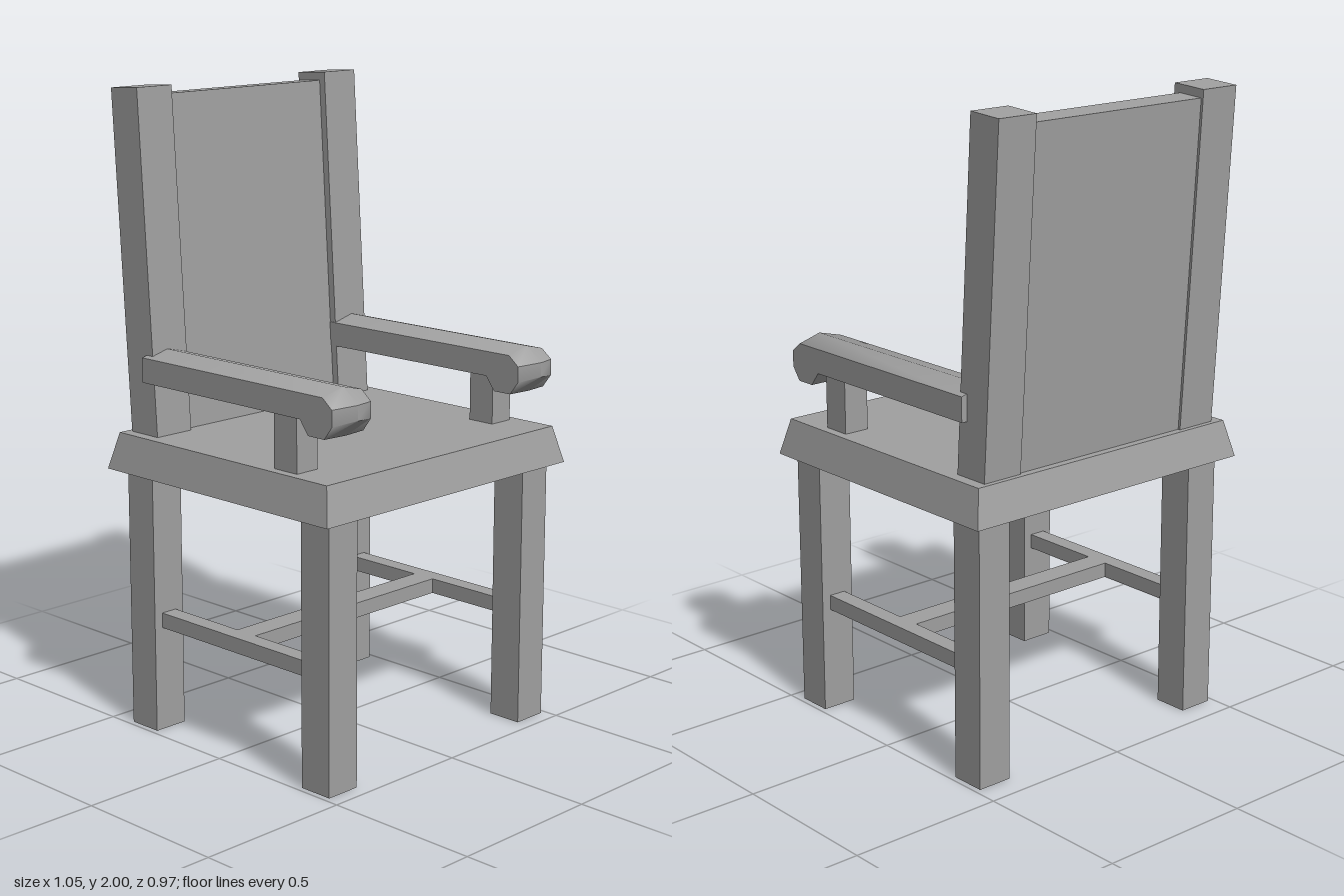
import * as THREE from 'three';
import { toCreasedNormals } from 'three/addons/utils/BufferGeometryUtils.js';

const grey = new THREE.MeshStandardMaterial({ color: 0xa0a0a0 });
grey.name = 'plain grey';

function add(parent, name, geometry) {
  const mesh = new THREE.Mesh(geometry, grey);
  mesh.name = name;
  parent.add(mesh);
  return mesh;
}

// Box given by its lower and upper limits on each axis
function block(parent, name, [x0, x1], [y0, y1], [z0, z1]) {
  const geometry = new THREE.BoxGeometry(x1 - x0, y1 - y0, z1 - z0);
  geometry.translate((x0 + x1) / 2, (y0 + y1) / 2, (z0 + z1) / 2);
  return add(parent, name, geometry);
}

// Seat slab with four sloping sides
function seatGeometry() {
  const geometry = new THREE.BoxGeometry(1.05, 0.115, 0.952);
  const p = geometry.attributes.position;
  for (let i = 0; i < p.count; i++) {
    if (p.getY(i) > 0) p.setXYZ(i, p.getX(i) * 0.949, p.getY(i), p.getZ(i) * 0.941);
  }
  geometry.computeVertexNormals();
  return geometry.translate(0, 0.8875, 0.011);
}

// Armrest: side profiles (z, y) at both edges and a fuller one along the ridge
function armGeometry() {
  const edge = [[-0.345, 1.113], [0.335, 1.113], [0.368, 1.07], [0.432, 1.07],
    [0.462, 1.11], [0.462, 1.16], [0.425, 1.19], [-0.345, 1.19]];
  const ridge = [[-0.345, 1.113], [0.335, 1.113], [0.368, 1.07], [0.44, 1.07],
    [0.487, 1.12], [0.487, 1.165], [0.43, 1.21], [-0.345, 1.21]];
  const n = edge.length;
  const positions = [];
  const index = [];
  [edge, ridge, edge].forEach((profile, i) => {
    for (const [z, y] of profile) positions.push((i - 1) * 0.079, y, z);
  });
  for (let i = 0; i < 2; i++) {
    for (let j = 0; j < n; j++) {
      const k = (j + 1) % n;
      const a = i * n + j, b = i * n + k, c = b + n, d = a + n;
      index.push(a, d, c, a, c, b);
    }
  }
  const outline = edge.map(([z, y]) => new THREE.Vector2(z, y));
  for (const [a, b, c] of THREE.ShapeUtils.triangulateShape(outline, [])) {
    index.push(a, b, c, 2 * n + a, 2 * n + c, 2 * n + b);
  }
  const geometry = new THREE.BufferGeometry();
  geometry.setAttribute('position', new THREE.Float32BufferAttribute(positions, 3));
  geometry.setIndex(index);
  return toCreasedNormals(geometry, 0.75);
}

export function createModel() {
  const chair = new THREE.Group();
  chair.name = 'armchair';

  add(chair, 'seat', seatGeometry());

  // Reclined back: two posts holding a thinner panel
  const back = new THREE.Group();
  back.name = 'back';
  back.position.set(0, 0.945, -0.302);
  back.rotation.x = -0.0615;
  chair.add(back);
  block(back, 'backPanel', [-0.33, 0.33], [-0.04, 1.031], [-0.11, -0.023]);

  const arm = armGeometry();
  for (const [side, s] of [['left', 1], ['right', -1]]) {
    const span = (a, b) => (s > 0 ? [a, b] : [-b, -a]);
    block(back, side + 'BackPost', span(0.325, 0.462), [-0.04, 1.057], [-0.118, 0]);
    add(chair, side + 'Armrest', arm).position.x = s * 0.402;
    block(chair, side + 'ArmSupport', span(0.385, 0.469), [0.93, 1.125], [0.217, 0.31]);
    block(chair, side + 'FrontLeg', span(0.367, 0.482), [0, 0.84], [0.339, 0.452]);
    block(chair, side + 'BackLeg', span(0.367, 0.482), [0, 0.84], [-0.42, -0.307]);
    block(chair, side + 'Stretcher', span(0.397, 0.452), [0.333, 0.381], [-0.31, 0.342]);
  }

  block(chair, 'crossStretcher', [-0.4, 0.4], [0.333, 0.381], [-0.024, 0.056]);
  return chair;
}
